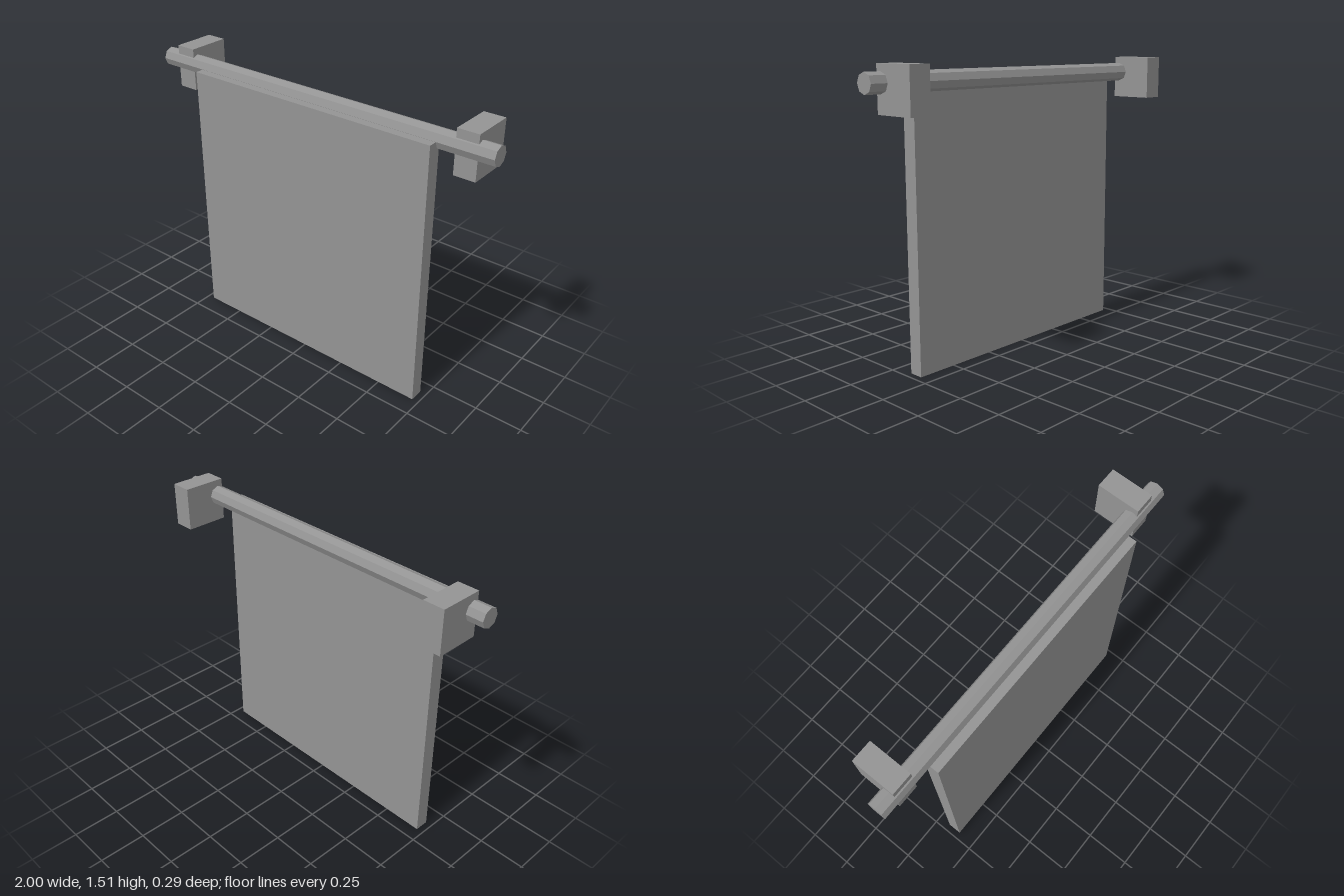
import * as THREE from 'three';

export function createModel() {
  const group = new THREE.Group();
  const grey = new THREE.MeshStandardMaterial({ color: 0x949494 });
  grey.name = 'grey';

  const add = (name, geometry, x, y, z) => {
    const mesh = new THREE.Mesh(geometry, grey);
    mesh.name = name;
    mesh.position.set(x, y, z);
    group.add(mesh);
  };

  // Hanging panel
  add('panel', new THREE.BoxGeometry(1.428, 1.43, 0.075), 0, 0.715, 0.11);

  // Eight-sided rod along x, with separate vertices per face for flat shading
  const rod = new THREE.CylinderGeometry(0.05, 0.05, 2, 8).rotateZ(Math.PI / 2).toNonIndexed();
  rod.computeVertexNormals();
  add('rod', rod, 0, 1.431, 0.053);

  // Wall brackets
  for (const [name, side] of [['leftBracket', 1], ['rightBracket', -1]]) {
    add(name, new THREE.BoxGeometry(0.112, 0.226, 0.228), side * 0.855, 1.402, -0.033);
  }

  return group;
}
